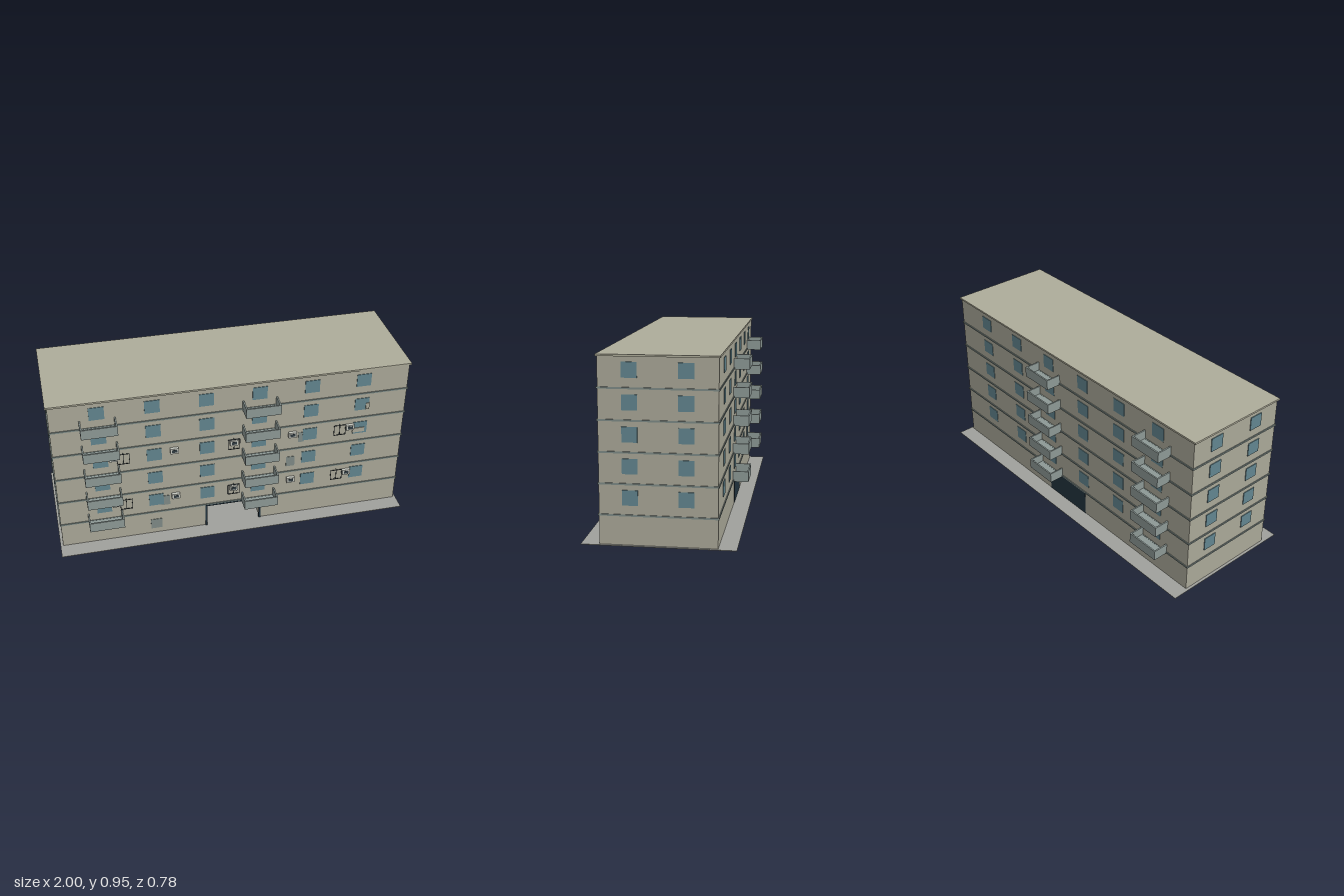
import * as THREE from 'three';

const mat = (color, side = THREE.FrontSide) => new THREE.MeshStandardMaterial({ color, side });
const M = {
  wall: mat(0xaaa898), roof: mat(0xaeac9a), ground: mat(0xa0a19c), band: mat(0x7d8a86),
  glass: mat(0x62858f), balcony: mat(0x8d9996), door: mat(0x22343f), panel: mat(0x9fb0b8),
  patch: mat(0x7f8a86), unit: mat(0xc4c6be), dark: mat(0x2f3a40),
};
const W = 0.985, D = 0.295, H = 0.94; // half width, half depth, height of the block
const FLOORS = 5, STEP = 0.158;

// Box given by its limits on each axis
function box(parent, name, material, [x0, x1], [y0, y1], [z0, z1]) {
  const mesh = new THREE.Mesh(new THREE.BoxGeometry(x1 - x0, y1 - y0, z1 - z0), material);
  mesh.position.set((x0 + x1) / 2, (y0 + y1) / 2, (z0 + z1) / 2);
  mesh.name = name;
  parent.add(mesh);
  return mesh;
}

function group(parent, name) {
  const g = new THREE.Group();
  g.name = name;
  parent.add(g);
  return g;
}

// Block with a passage cut through the ground floor
function buildBody(parent) {
  const s = new THREE.Shape();
  s.moveTo(-W, 0);
  s.lineTo(-0.16, 0);
  s.lineTo(-0.16, 0.15);
  s.lineTo(0.16, 0.15);
  s.lineTo(0.16, 0);
  s.lineTo(W, 0);
  s.lineTo(W, H);
  s.lineTo(-W, H);
  s.closePath();
  const geo = new THREE.ExtrudeGeometry(s, { depth: 2 * D, bevelEnabled: false });
  geo.translate(0, 0, -D);
  const body = new THREE.Mesh(geo, M.wall);
  body.name = 'walls';
  parent.add(body);
}

// Door frame at the front, closed door at the far end of the passage
function buildEntrance(parent) {
  const g = group(parent, 'entrance');
  for (const s of [-1, 1]) {
    const x = s * 0.158;
    box(g, 'doorJamb', M.door, [x - 0.005, x + 0.005], [0, 0.15], [D - 0.005, 0.301]);
  }
  box(g, 'doorLintel', M.door, [-0.163, 0.163], [0.144, 0.152], [D - 0.005, 0.301]);
  box(g, 'backDoor', M.door, [-0.16, 0.16], [0, 0.15], [-0.297, -0.285]);
  for (const x of [-0.1, 0.03]) {
    box(g, 'doorPanel', M.panel, [x, x + 0.065], [0.008, 0.124], [-0.286, -0.282]);
  }
  box(g, 'wallBox', M.patch, [-0.16, -0.147], [0.003, 0.07], [0.1, 0.13]);
}

// Open-topped balcony; side is +1 at the front and -1 at the back
function buildBalcony(parent, x, y, side) {
  const g = group(parent, 'balcony');
  const hw = 0.097, t = 0.008, h = 0.059, d = 0.087;
  box(g, 'balconyFloor', M.balcony, [-hw, hw], [0, 0.01], [0, d]);
  box(g, 'balconyFront', M.balcony, [-hw, hw], [0.01, h], [d - t, d]);
  box(g, 'balconySide', M.balcony, [-hw, -hw + t], [0.01, h], [0, d - t]);
  box(g, 'balconySide', M.balcony, [hw - t, hw], [0.01, h], [0, d - t]);
  g.position.set(x, y, side * D);
  if (side < 0) g.rotation.y = Math.PI;
}

// Air conditioner hung on the front wall
function buildAirUnit(parent, x, y) {
  const g = group(parent, 'airConditioner');
  box(g, 'unitCase', M.unit, [-0.023, 0.023], [-0.016, 0.016], [0.004, 0.022]);
  box(g, 'unitGrille', M.dark, [-0.014, 0.014], [-0.008, 0.009], [0.022, 0.0235]);
  for (const s of [-0.015, 0.015]) {
    box(g, 'unitBracket', M.dark, [s - 0.002, s + 0.002], [-0.019, -0.015], [0, 0.02]);
  }
  g.position.set(x, y, D);
}

// Thin pipe frame with three uprights
function buildPipes(parent, x, y) {
  const g = group(parent, 'pipeFrame');
  const r = 0.0014;
  for (const px of [-0.033, 0, 0.033]) {
    box(g, 'pipe', M.dark, [px - r, px + r], [-0.032, 0.032], [0.01, 0.013]);
  }
  for (const py of [-0.032, 0.032]) {
    box(g, 'pipeRail', M.dark, [-0.034, 0.034], [py - r, py + r], [0.01, 0.013]);
    box(g, 'pipeStub', M.dark, [-r, r], [py - r, py + r], [0, 0.011]);
  }
  g.position.set(x, y, D);
}

export function createModel() {
  const model = new THREE.Group();
  model.name = 'apartmentBlock';

  box(model, 'ground', M.ground, [-1, 1], [0, 0.003], [-0.388, 0.388]);
  buildBody(model);
  box(model, 'roof', M.roof, [-0.995, 0.995], [H, 0.95], [-0.301, 0.301]);
  buildEntrance(model);

  for (let f = 0; f < FLOORS; f++) {
    const y = f * STEP;
    box(model, 'floorBand', M.band, [-0.99, 0.99], [0.15 + y, 0.159 + y], [-0.3, 0.3]);

    // Windows: six columns front and back, two on each end
    const wy = [0.205 + y, 0.282 + y];
    for (let c = 0; c < 6; c++) {
      const x = -0.735 + c * 0.2928;
      for (const s of [-1, 1]) {
        box(model, 'window', M.glass, [x - 0.041, x + 0.041], wy, [s * 0.296 - 0.002, s * 0.296 + 0.002]);
      }
    }
    for (const z of [-0.139, 0.139]) {
      for (const s of [-1, 1]) {
        box(model, 'endWindow', M.glass, [s * 0.986 - 0.003, s * 0.986 + 0.003], wy, [z - 0.039, z + 0.039]);
      }
    }

    for (const x of [-0.733, 0.145]) {
      for (const s of [-1, 1]) buildBalcony(model, x, 0.148 + y, s);
    }
  }

  // Fittings on the second and fourth storeys
  for (const y of [0.262, 0.579]) {
    for (let i = -2; i <= 2; i++) buildAirUnit(model, i * 0.333, y);
    for (const x of [-0.612, 0, 0.608]) buildPipes(model, x, y - 0.014);
  }

  // Plaster repairs: x, y, width, height
  const patches = [[-0.447, 0.068, 0.065, 0.065], [-0.39, 0.23, 0.05, 0.065],
    [0.33, 0.385, 0.05, 0.065], [0.386, 0.545, 0.032, 0.065]];
  for (const [x, y, w, h] of patches) {
    box(model, 'wallPatch', M.patch, [x - w / 2, x + w / 2], [y - h / 2, y + h / 2], [D - 0.002, D + 0.0025]);
  }
  // Boards over parts of two windows
  box(model, 'windowBoard', M.wall, [0.685, 0.755], [0.532, 0.56], [D, D + 0.007]);
  box(model, 'windowBoard', M.wall, [0.752, 0.772], [0.682, 0.722], [D, D + 0.007]);

  return model;
}
